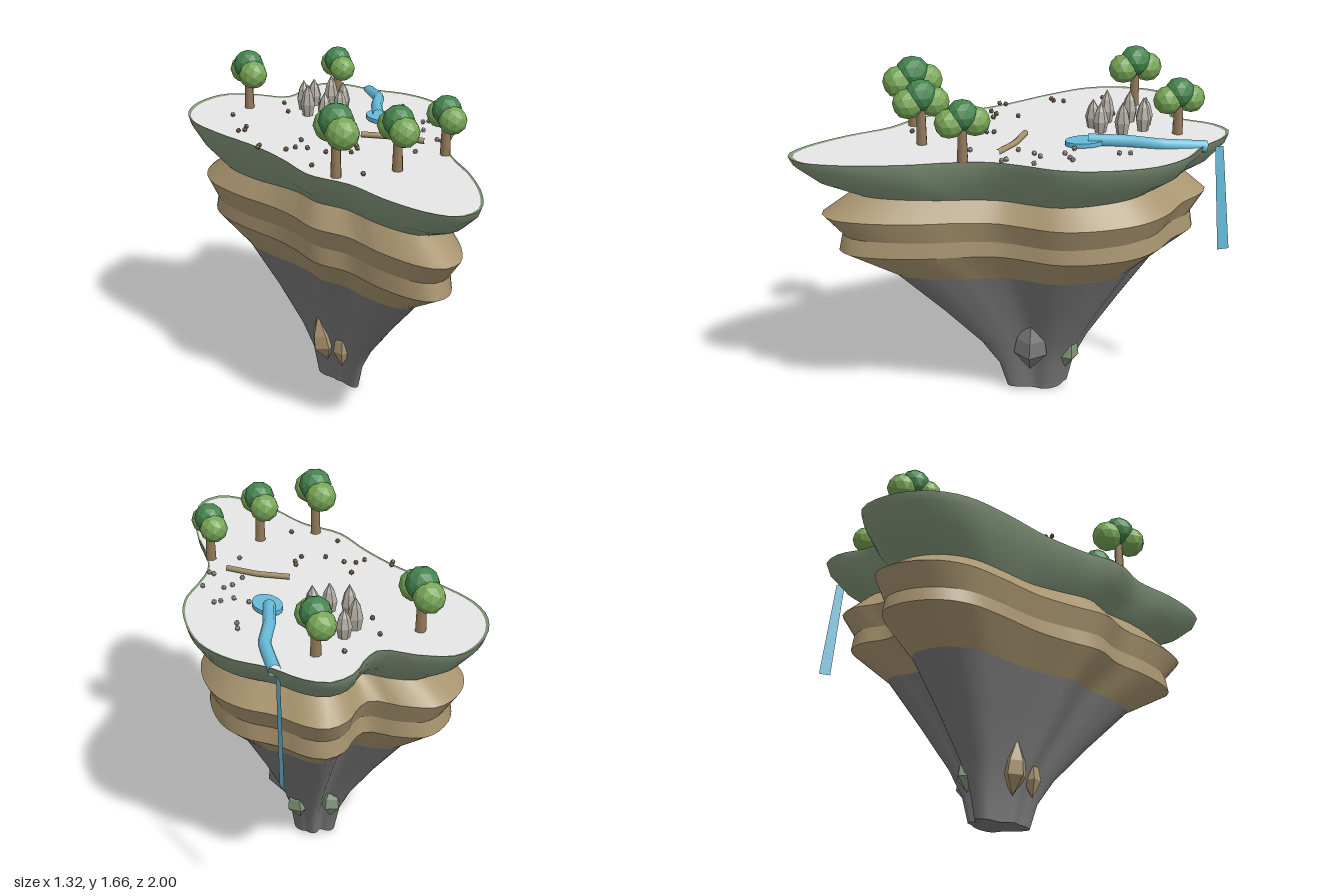
import * as THREE from 'three';

const material = (name, color, side = THREE.FrontSide, flatShading = false) => {
  const m = new THREE.MeshStandardMaterial({ color, side, flatShading });
  m.name = name;
  return m;
};

// Coastline as [x, z], running clockwise seen from above
const COAST = [
  [0.085, -0.998], [0.19, -0.963], [0.32, -0.85], [0.48, -0.757], [0.6, -0.61], [0.658, -0.37],
  [0.645, -0.185], [0.58, -0.03], [0.534, 0.11], [0.54, 0.29], [0.572, 0.5], [0.572, 0.77],
  [0.525, 0.94], [0.43, 1], [0.32, 0.95], [0.164, 0.785], [0.03, 0.585], [-0.13, 0.45],
  [-0.23, 0.24], [-0.34, 0.05], [-0.522, -0.185], [-0.635, -0.37], [-0.661, -0.53], [-0.605, -0.71],
  [-0.47, -0.838], [-0.31, -0.82], [-0.153, -0.757], [-0.085, -0.82], [-0.02, -0.937],
];
const CENTRE = [0.078, -0.136];
const SIDES = 96;
const GROUND = 1.332;

const coast = new THREE.CatmullRomCurve3(
  COAST.map(([x, z]) => new THREE.Vector3(x, 0, z)), true).getSpacedPoints(SIDES).slice(0, SIDES);

// One scaled copy of the coastline, gently waving in height
function ring([y, scale, wave = 0]) {
  return coast.flatMap((p) => {
    const dx = p.x - CENTRE[0], dz = p.z - CENTRE[1];
    const lift = -wave * Math.cos(2 * Math.atan2(dz, dx) - 0.35);
    return [CENTRE[0] + dx * scale, y + lift, CENTRE[1] + dz * scale];
  });
}

function indexed(positions, index) {
  const g = new THREE.BufferGeometry();
  g.setAttribute('position', new THREE.Float32BufferAttribute(positions, 3));
  g.setIndex(index);
  g.computeVertexNormals();
  return g;
}

// Wall joining rings from top to bottom
function wall(levels) {
  const index = [];
  for (let l = 0; l < levels.length - 1; l++) {
    for (let i = 0; i < SIDES; i++) {
      const j = (i + 1) % SIDES, a = l * SIDES, b = a + SIDES;
      index.push(a + i, a + j, b + i, a + j, b + j, b + i);
    }
  }
  return indexed(levels.flatMap(ring), index);
}

// Flat face closing a ring
function cap(level, up) {
  const index = [];
  for (let i = 0; i < SIDES; i++) {
    const j = (i + 1) % SIDES;
    index.push(SIDES, up ? j : i, up ? i : j);
  }
  return indexed([...ring(level), CENTRE[0], level[0], CENTRE[1]], index);
}

// Faceted pointed rock of unit radius and half height
function shard(profile, sides) {
  const g = new THREE.LatheGeometry(profile.map(([r, y]) => new THREE.Vector2(r, y)), sides).toNonIndexed();
  g.computeVertexNormals();
  return g;
}

export function createModel() {
  const model = new THREE.Group();
  model.name = 'floatingIsland';
  const turf = material('turf green', 0x82967a);
  const ground = material('pale ground', 0xe6e6e6);
  const earth = material('earth brown', 0xa8946f);
  const rock = material('dark rock', 0x787878);
  const water = material('water blue', 0x66bbd9, THREE.DoubleSide);
  const leafLight = material('light leaf', 0x77a656, THREE.FrontSide, true);
  const leafDark = material('dark leaf', 0x44844d, THREE.FrontSide, true);
  const bark = material('bark', 0x93795a);
  const stone = material('stone', 0xb0aba1, THREE.FrontSide, true);

  const add = (name, geometry, mat, parent = model) => {
    const mesh = new THREE.Mesh(geometry, mat);
    mesh.name = name;
    parent.add(mesh);
    return mesh;
  };

  // Island: ground, turf rim, earth layers, rocky root
  const levels = [
    [1.337, 1.003], [1.295, 0.985], [1.21, 0.9, 0.006], [1.13, 0.76, 0.02], [1.04, 0.89, 0.015],
    [0.935, 0.815, 0.015], [0.86, 0.83, 0.008], [0.71, 0.615, 0.01],
  ];
  add('ground', cap([GROUND, 0.985], true), ground);
  add('turfLip', wall([[GROUND, 0.985], levels[0]]), turf);
  add('turfRim', wall(levels.slice(0, 4)), turf);
  for (let i = 3; i < 7; i++) add('earthLayer', wall([levels[i], levels[i + 1]]), earth);
  add('rockRoot', wall([levels[7], [0.49, 0.425], [0.28, 0.26], [0.15, 0.185], [0.015, 0.15, 0.008]]), rock);
  add('rootBase', cap([0.015, 0.15, 0.008], false), rock);

  // Boulders lodged in the root: x, y, z, radius, half height, turn, lean
  const boulder = shard([[0, -1], [0.95, -0.3], [0.8, 0.2], [0, 1]], 5);
  [
    [-0.025, 0.27, -0.06, 0.065, 0.135, 0.3, 0.2, earth], [0.065, 0.27, 0.03, 0.048, 0.12, 1.1, -0.05, earth],
    [0.205, 0.29, -0.08, 0.09, 0.155, 0.2, -0.1, rock], [0.155, 0.235, -0.26, 0.062, 0.11, 0.7, -0.1, turf],
    [-0.005, 0.24, -0.28, 0.06, 0.1, 0, 0.05, turf],
  ].forEach(([x, y, z, r, h, turn, lean, mat]) => {
    const m = add('boulder', boulder, mat);
    m.position.set(x, y, z);
    m.scale.set(r, h, r);
    m.rotation.set(0, turn, lean);
  });

  // Trees: x, z, canopy height, size
  const blob = new THREE.IcosahedronGeometry(0.076, 1);
  [
    [-0.35, -0.6, 1.535, 1], [0.12, -0.757, 1.51, 0.92], [0.515, 0.228, 1.525, 0.92],
    [0.265, 0.42, 1.54, 0.97], [-0.015, 0.475, 1.565, 1.06],
  ].forEach(([x, z, y, size]) => {
    const tree = new THREE.Group();
    tree.name = 'tree';
    tree.position.set(x, 0, z);
    model.add(tree);
    const height = y - GROUND;
    add('trunk', new THREE.CylinderGeometry(0.019, 0.025, height, 7), bark, tree)
      .position.y = GROUND + height / 2;
    const crown = add('crownTop', blob, leafDark, tree);
    crown.position.y = y + 0.022 * size;
    crown.scale.setScalar(size);
    for (const side of [-1, 1]) {
      const leaf = add('crownSide', blob, leafLight, tree);
      leaf.position.set(side * 0.019 * size, y - 0.014 * size, side * 0.06 * size);
      leaf.scale.setScalar(size * 0.95);
    }
  });

  // Ring of standing stones
  const spire = shard([[0, -1], [0.7, -0.9], [1, -0.2], [0.65, 0.45], [0, 1]], 7);
  [[-0.016, -0.62], [0.07, -0.6], [0.12, -0.5], [0.095, -0.4], [0.016, -0.37], [-0.063, -0.44], [-0.074, -0.55]]
    .forEach(([x, z], i) => {
      const h = 0.072 + 0.004 * ((i * 3) % 4);
      const m = add('standingStone', spire, stone);
      m.position.set(x, GROUND + h * 0.9, z);
      m.scale.set(0.037, h, 0.037);
      m.rotation.y = i * 1.3;
    });

  // Pebbles as x, z pairs; those on the left side are grey
  const pebble = new THREE.IcosahedronGeometry(0.013, 0);
  const spots = [
    -0.17, -0.63, -0.16, -0.48, -0.44, -0.45, -0.38, -0.25, -0.39, -0.2, -0.42, -0.19, 0, -0.76,
    0.43, -0.51, 0.43, -0.46, 0.365, -0.265, 0.43, -0.22, 0.49, -0.24, 0.52, -0.25, 0.43, -0.085,
    0.47, -0.11, 0.565, -0.08, 0.38, -0.015, 0.51, 0.04, 0.53, 0.06, 0.38, 0.2, 0.12, 0.095,
    0.12, 0.13, 0.085, 0.18, -0.03, 0.165, -0.11, 0.1, -0.165, 0.085, -0.21, 0.11, -0.33, 0.04,
    -0.34, 0.07, -0.13, -0.02, -0.11, 0.34, 0.105, 0.475,
  ];
  for (let i = 0; i < spots.length; i += 2) {
    const m = add('pebble', pebble, spots[i] > 0.35 ? stone : bark);
    m.position.set(spots[i], GROUND + 0.011, spots[i + 1]);
    m.rotation.y = i;
  }

  const tube = (points, radius, sides) => new THREE.TubeGeometry(
    new THREE.CatmullRomCurve3(points.map((p) => new THREE.Vector3(...p)), false, 'catmullrom', 0.2),
    16, radius, sides);

  // Fallen log
  add('log', tube([[0.16, 1.35, -0.05], [0.31, 1.35, 0], [0.445, 1.35, 0.08]], 0.015, 6), earth);

  // Pond, stream and waterfall
  const pond = add('pond', new THREE.CylinderGeometry(1, 1, 0.02, 20), water);
  pond.position.set(0.287, 1.348, -0.317);
  pond.scale.set(0.064, 1, 0.093);
  pond.rotation.y = 0.3;
  add('stream', tube([[0.28, 1.355, -0.33], [0.293, 1.353, -0.5], [0.325, 1.345, -0.66], [0.3, 1.328, -0.865]], 0.029, 8), water);
  add('waterfall', indexed([
    0.298, 1.325, -0.905, 0.284, 1.325, -0.945, 0.295, 0.82, -0.945, 0.28, 0.82, -1,
  ], [0, 1, 2, 1, 3, 2]), water);

  return model;
}
